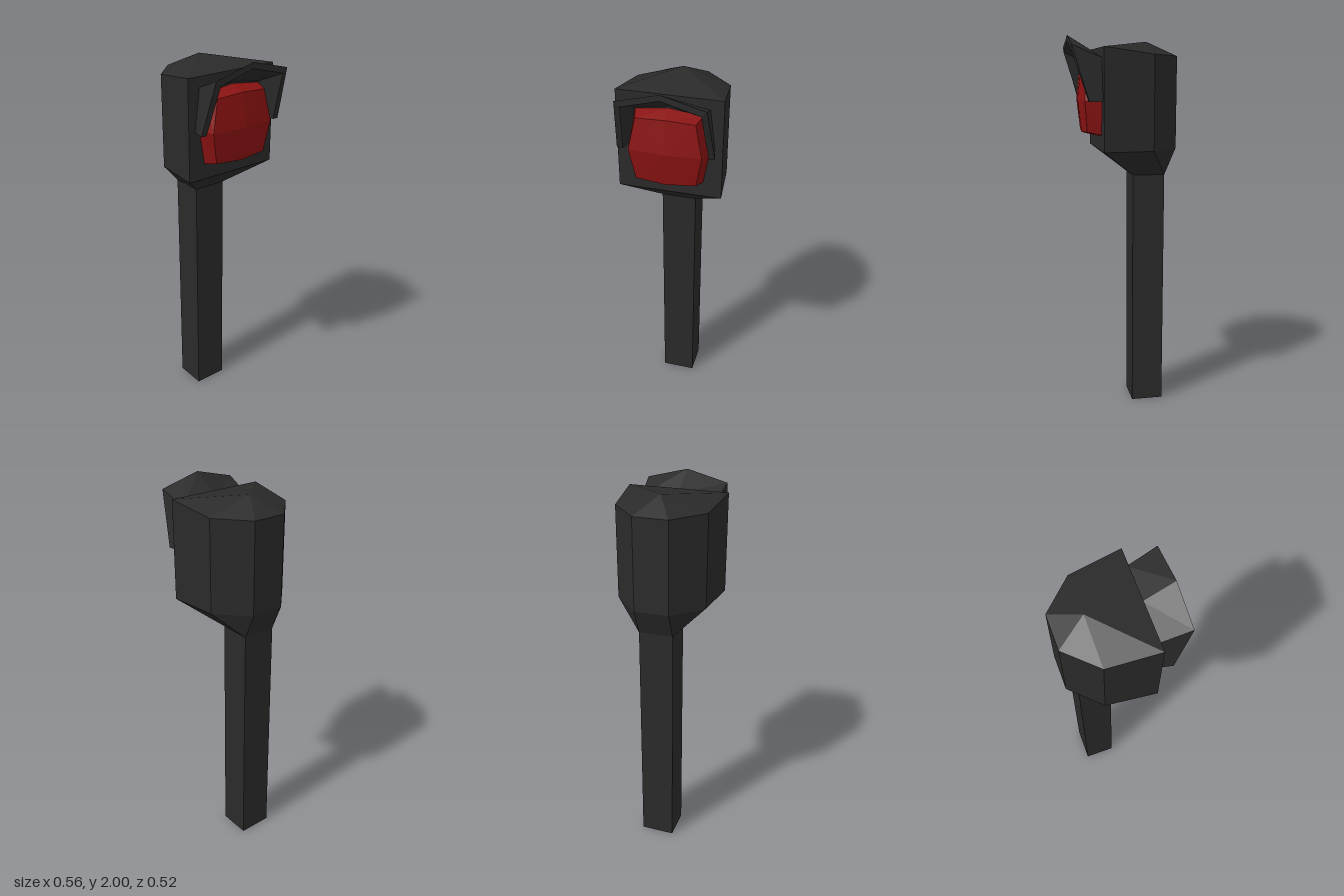
import * as THREE from 'three';

const dark = new THREE.MeshStandardMaterial({ color: 0x2a2a2a, flatShading: true });
const red = new THREE.MeshStandardMaterial({ color: 0x8a1212, flatShading: true });

// Skins a list of equal rings (counter-clockwise about the travel direction).
// cap(last) may return extra triangles that close the end.
function loft(rings, cap) {
  const tris = [];
  const n = rings[0].length;
  for (let r = 0; r < rings.length - 1; r++) {
    for (let i = 0; i < n; i++) {
      const j = (i + 1) % n;
      const a = rings[r][i], b = rings[r][j], c = rings[r + 1][j], d = rings[r + 1][i];
      tris.push([a, b, c], [a, c, d]);
    }
  }
  tris.push(...cap(rings[rings.length - 1]));
  const geo = new THREE.BufferGeometry();
  geo.setAttribute('position', new THREE.Float32BufferAttribute(tris.flat(2), 3));
  geo.computeVertexNormals();
  return geo;
}

// Closes a ring with a fan around a raised centre point
const fan = (centre) => (ring) => ring.map((p, i) => [centre, p, ring[(i + 1) % ring.length]]);

// Closes a U-shaped ring (outer arc, then inner arc back) with a strip
const strip = (ring) => {
  const tris = [];
  const n = ring.length;
  for (let k = 0; k < n / 2 - 1; k++) {
    tris.push([ring[k], ring[k + 1], ring[n - 2 - k]], [ring[k], ring[n - 2 - k], ring[n - 1 - k]]);
  }
  return tris;
};

export function createModel() {
  const group = new THREE.Group();
  const add = (name, geo, mat) => {
    const mesh = new THREE.Mesh(geo, mat);
    mesh.name = name;
    group.add(mesh);
    return mesh;
  };

  // Square post
  add('post', new THREE.BoxGeometry(0.17, 1.28, 0.18), dark).position.set(-0.135, 0.64, 0);

  // Six-sided housing: neck, flared walls and a low peaked roof
  const half = (pts) => [
    pts[0], [pts[0][0], pts[0][1], -pts[0][2]],
    [pts[1][0], pts[1][1], -pts[1][2]], [pts[2][0], pts[2][1], -pts[2][2]],
    pts[2], pts[1],
  ];
  add('housing', loft([
    half([[-0.05, 1.28, 0.09], [-0.22, 1.28, 0.09], [-0.22, 1.28, 0.09]]),
    half([[0.13, 1.42, 0.262], [-0.13, 1.42, 0.235], [-0.28, 1.42, 0.09]]),
    half([[0.13, 1.935, 0.262], [-0.13, 1.9, 0.235], [-0.28, 1.895, 0.09]]),
  ], fan([-0.135, 1.97, 0])), dark);

  // Bulging eight-point lens facing +x: top, upper corner, side, lower corner, bottom
  const lensRing = (pts) => [...pts, ...pts.slice(1, 4).reverse().map(([x, y, z]) => [x, y, -z])];
  add('lens', loft([
    lensRing([[0.13, 1.87, 0], [0.13, 1.85, 0.165], [0.13, 1.675, 0.2], [0.13, 1.5, 0.17], [0.13, 1.485, 0]]),
    lensRing([[0.21, 1.845, 0], [0.2, 1.835, 0.145], [0.215, 1.675, 0.18], [0.2, 1.515, 0.15], [0.21, 1.505, 0]]),
  ], fan([0.23, 1.675, 0])), red);

  // Hood over the lens: each arc runs from the -z foot over the ridge to the +z foot
  const arc = ([foot, shoulder, ridge]) => {
    const mirror = ([x, y, z]) => [x, y, -z];
    return [mirror(foot), mirror(shoulder), ridge, shoulder, foot];
  };
  const hoodRing = (outer, inner) => [...arc(outer), ...arc(inner).reverse()];
  add('hood', loft([
    hoodRing(
      [[0.13, 1.67, 0.225], [0.13, 1.885, 0.197], [0.13, 1.91, 0]],
      [[0.13, 1.67, 0.195], [0.13, 1.855, 0.168], [0.13, 1.88, 0]]),
    hoodRing(
      [[0.2, 1.67, 0.24], [0.28, 1.945, 0.215], [0.28, 2.0, 0]],
      [[0.2, 1.67, 0.21], [0.28, 1.92, 0.188], [0.28, 1.97, 0]]),
  ], strip), dark);

  return group;
}
